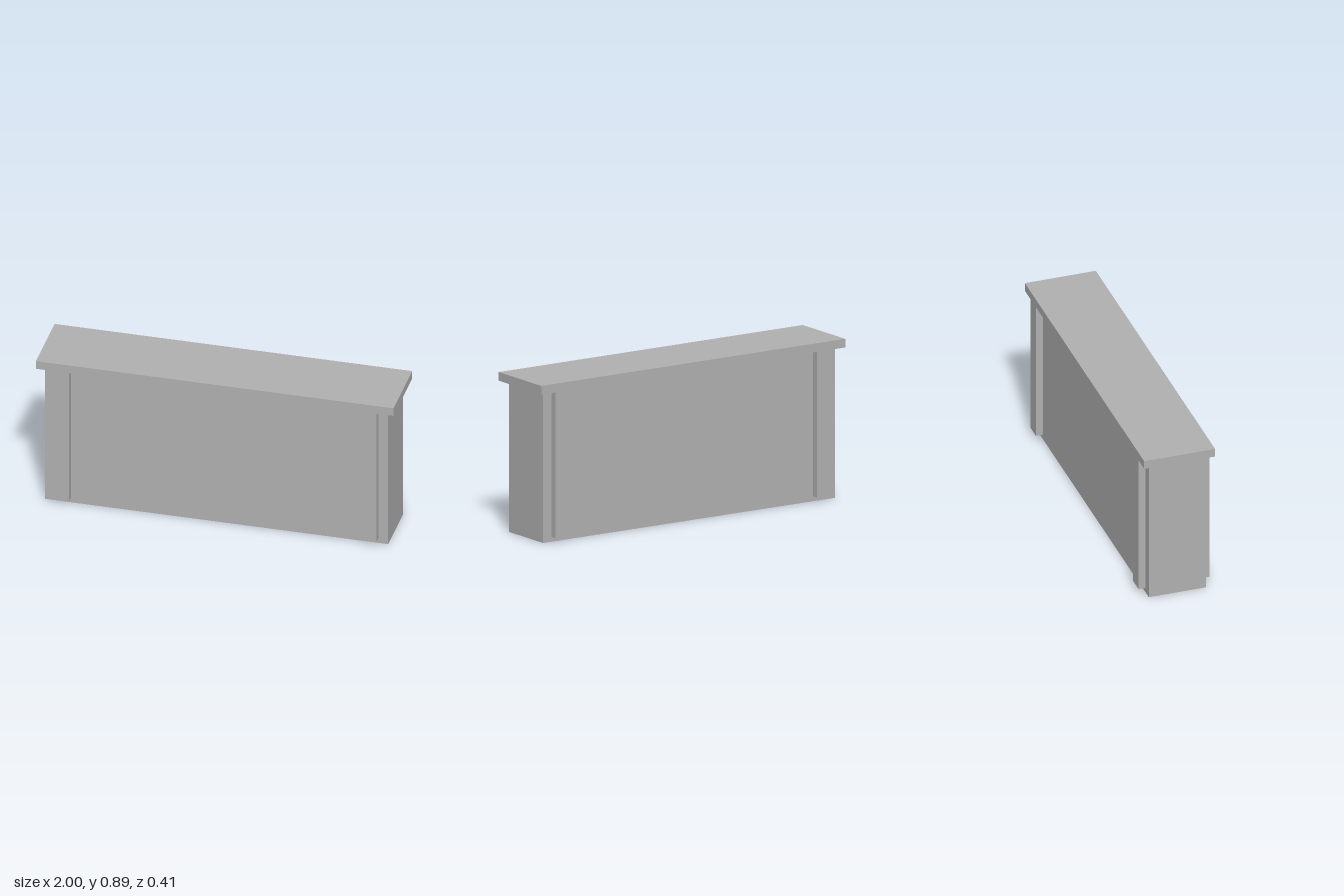
import * as THREE from 'three';

export function createModel() {
  const model = new THREE.Group();
  model.name = 'wallSection';
  const stone = new THREE.MeshStandardMaterial({ color: 0xb0b0b0 });
  stone.name = 'grey stone';

  // Box given by its minimum and maximum corners
  const addBox = (name, [x0, y0, z0], [x1, y1, z1]) => {
    const mesh = new THREE.Mesh(new THREE.BoxGeometry(x1 - x0, y1 - y0, z1 - z0), stone);
    mesh.position.set((x0 + x1) / 2, (y0 + y1) / 2, (z0 + z1) / 2);
    mesh.name = name;
    model.add(mesh);
  };

  const capBottom = 0.838, bodyZ = 0.163, capZ = 0.203;

  // Main slab and overhanging cap
  addBox('wallBody', [-0.96, 0, -bodyZ], [0.96, capBottom, bodyZ]);
  addBox('cap', [-1, capBottom, -capZ], [1, 0.886, capZ]);

  // Pilasters near both ends, on the front and back
  for (const [sideName, x] of [['left', 0.86], ['right', -0.86]]) {
    for (const [faceName, z0, z1] of [['Front', bodyZ, capZ], ['Back', -capZ, -bodyZ]]) {
      addBox(`${sideName}${faceName}Pilaster`, [x - 0.045, 0.028, z0], [x + 0.045, capBottom, z1]);
    }
  }
  return model;
}
